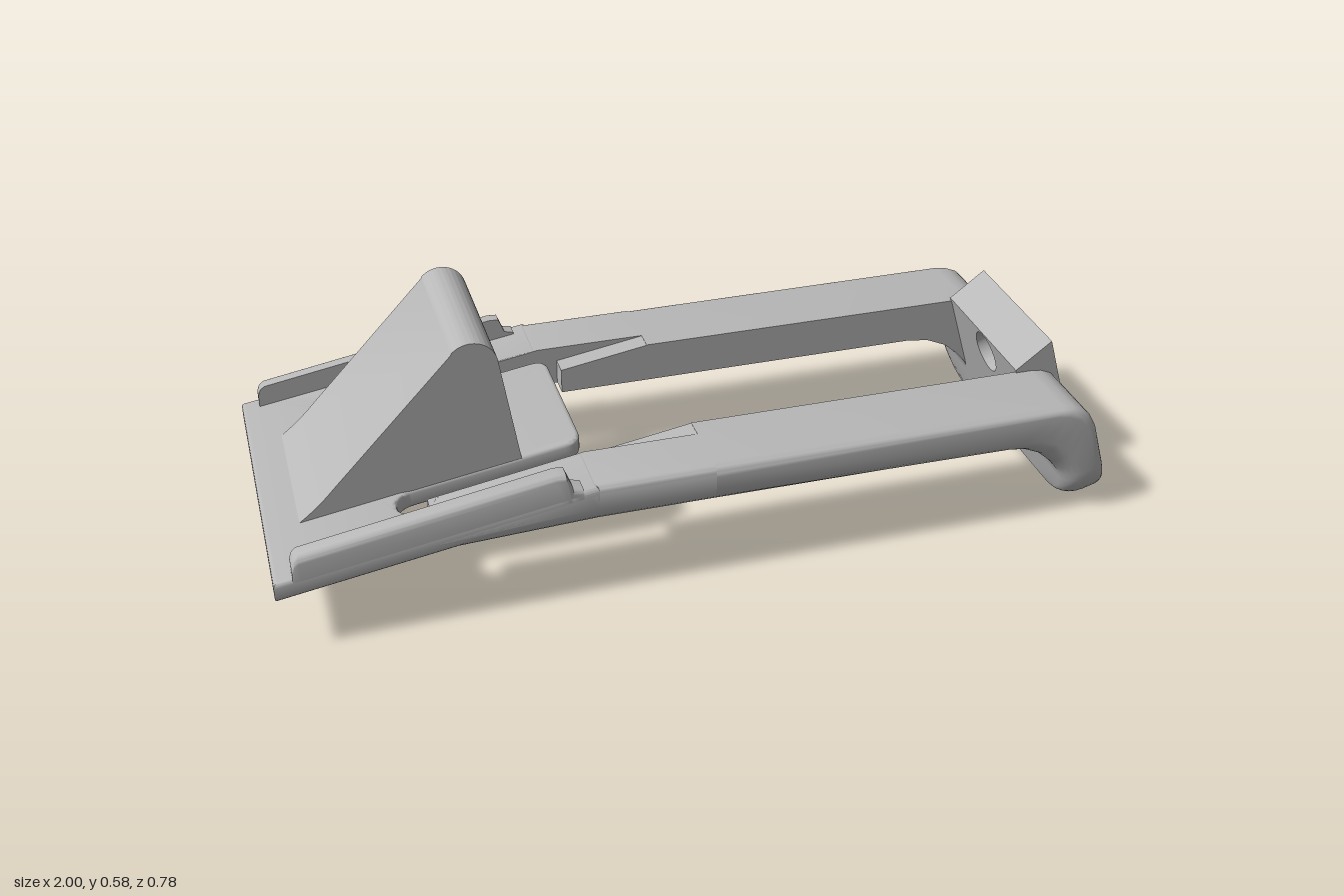
import * as THREE from 'three';
import { toCreasedNormals } from 'three/addons/utils/BufferGeometryUtils.js';

const grey = new THREE.MeshStandardMaterial({ color: 0xb8b8b8 });
grey.name = 'grey plastic';

const SLOPE = 0.162;
const plateBottom = (x) => 0.3 + SLOPE * x;
const plateTop = (x) => plateBottom(x) + 0.046;

function part(name, geometry) {
  const mesh = new THREE.Mesh(toCreasedNormals(geometry, 0.6), grey);
  mesh.name = name;
  return mesh;
}

// Bar lofted through stations [bottomX, bottomY, topX, topY, outerZ];
// its outer edges are rounded by rBottom and rTop, side = 1 or -1 mirrors it.
function loft(stations, innerZ, rBottom, rTop, side) {
  const pos = [], index = [], N = 5;
  let count = 0;
  for (const [bx, by, tx, ty, w] of stations) {
    const h = Math.hypot(tx - bx, ty - by);
    const ring = [[innerZ, 0]];
    const rb = Math.min(rBottom, h * 0.45), rt = Math.min(rTop, h * 0.45);
    for (let i = 0; i <= N; i++) {
      const a = (i / N) * Math.PI / 2;
      ring.push([w - rb + rb * Math.sin(a), rb - rb * Math.cos(a)]);
    }
    for (let i = 0; i <= N; i++) {
      const a = (i / N) * Math.PI / 2;
      ring.push([w - rt + rt * Math.cos(a), h - rt + rt * Math.sin(a)]);
    }
    ring.push([innerZ, h]);
    count = ring.length;
    for (const [z, d] of ring) {
      const t = d / h;
      pos.push(bx + (tx - bx) * t, by + (ty - by) * t, z * side);
    }
  }
  const tri = (a, b, c) => (side > 0 ? index.push(a, b, c) : index.push(a, c, b));
  const last = (stations.length - 1) * count;
  for (let s = 0; s < last; s += count) {
    for (let i = 0; i < count; i++) {
      const a = s + i, b = s + (i + 1) % count;
      tri(a, a + count, b);
      tri(b, a + count, b + count);
    }
  }
  for (let i = 1; i < count - 1; i++) {
    tri(0, i, i + 1);
    tri(last, last + i + 1, last + i);
  }
  const g = new THREE.BufferGeometry();
  g.setAttribute('position', new THREE.Float32BufferAttribute(pos, 3));
  g.setIndex(index);
  g.computeVertexNormals();
  return g;
}

// Sloped plate with two keyhole slots that free the central tongue
function plateGeometry() {
  const s = new THREE.Shape();
  s.moveTo(-1, -0.39);
  s.lineTo(-0.28, -0.39);
  s.lineTo(-0.28, -0.24);
  s.absarc(-0.665, -0.235, 0.042, -0.12, -1.5 * Math.PI, true);
  s.lineTo(-0.31, -0.192);
  s.quadraticCurveTo(-0.27, -0.192, -0.27, -0.152);
  s.lineTo(-0.27, 0.152);
  s.quadraticCurveTo(-0.27, 0.192, -0.31, 0.192);
  s.absarc(-0.69, 0.235, 0.042, -0.5 * Math.PI, -2 * Math.PI + 0.12, true);
  s.lineTo(-0.28, 0.24);
  s.lineTo(-0.28, 0.39);
  s.lineTo(-1, 0.39);
  s.closePath();
  const g = new THREE.ExtrudeGeometry(s, {
    depth: 0.026, bevelThickness: 0.01, bevelSize: 0.01, bevelOffset: -0.01,
    bevelSegments: 3, curveSegments: 20,
  });
  g.translate(0, 0, 0.01);
  g.rotateX(-Math.PI / 2);
  const p = g.attributes.position;
  for (let i = 0; i < p.count; i++) p.setY(i, p.getY(i) + plateBottom(p.getX(i)));
  return g;
}

// Thumb wedge with a rounded crest
function wedgeGeometry() {
  const s = new THREE.Shape();
  s.moveTo(-0.93, plateTop(-0.93) - 0.005);
  s.quadraticCurveTo(-0.88, 0.225, -0.84, 0.27);
  s.lineTo(-0.557, 0.568);
  s.absarc(-0.513, 0.53, 0.06, 2.36, 0.17, true);
  s.lineTo(-0.41, 0.265);
  s.closePath();
  const g = new THREE.ExtrudeGeometry(s, { depth: 0.38, bevelEnabled: false, curveSegments: 16 });
  return g.translate(0, 0, -0.19);
}

// Tilted hook slab with two screw holes and a slanted top
function slabGeometry() {
  const H = 0.355, T = 0.104, s = new THREE.Shape();
  s.moveTo(-0.195, 0);
  s.lineTo(0.195, 0);
  s.lineTo(0.195, H);
  s.lineTo(-0.195, H);
  s.closePath();
  for (const v of [0.073, 0.256]) {
    s.holes.push(new THREE.Path().absarc(0, v, 0.054, 0, Math.PI * 2, true));
  }
  const g = new THREE.ExtrudeGeometry(s, { depth: T, bevelEnabled: false, curveSegments: 24 });
  const p = g.attributes.position;
  for (let i = 0; i < p.count; i++) {
    if (p.getY(i) > H - 0.001 && p.getZ(i) < 0.001) p.setY(i, H - 0.04);
  }
  const m = new THREE.Matrix4().makeBasis(
    new THREE.Vector3(0, 0, -1),
    new THREE.Vector3(-0.282, 0.959, 0),
    new THREE.Vector3(0.959, 0.282, 0),
  );
  m.setPosition(0.9, 0.005, 0);
  return g.applyMatrix4(m);
}

export function createModel() {
  const group = new THREE.Group();
  group.name = 'bracket';
  group.add(part('slopedPlate', plateGeometry()));
  group.add(part('thumbWedge', wedgeGeometry()));
  group.add(part('hookSlab', slabGeometry()));

  // Long arm, bending down into the hook with a rounded lower corner
  const W = 0.39;
  const arm = [
    [-0.01, 0.2, -0.01, 0.3, W],
    [0.7, 0.2, 0.85, 0.3, W],
    [0.755, 0.192, 0.878, 0.297, W],
    [0.805, 0.17, 0.905, 0.286, W],
    [0.84, 0.14, 0.925, 0.265, W],
    [0.86, 0.118, 0.941, 0.235, W],
  ];
  for (let i = 0; i <= 8; i++) {
    const a = (i / 8) * Math.PI / 2, d = 0.1 * (1 - Math.sin(a));
    arm.push([0.9 - 0.282 * d, 0.005 + 0.959 * d, 1 - 0.282 * d, 0.034 + 0.959 * d, 0.29 + 0.1 * Math.cos(a)]);
  }
  // Arm root running under the plate beside the slot
  const root = [
    [-0.64, 0.197, -0.64, plateTop(-0.64) - 0.003, W],
    [-0.3, 0.2, -0.3, 0.296, W],
    [-0.28, 0.2, -0.28, 0.3, W],
    [-0.01, 0.2, -0.01, 0.3, W],
  ];
  // Inner strip of the arm, cut down to clear the plate
  const strip = [
    [-0.23, 0.2, -0.23, plateBottom(-0.23), 0.24],
    [-0.01, 0.2, -0.01, 0.299, 0.24],
  ];
  // Raised side rail on the plate
  const rail = [[-0.958, 0.03], [-0.952, 0.045], [-0.942, 0.052], [-0.375, 0.057],
    [-0.352, 0.052], [-0.344, 0.03], [-0.338, 0.014], [-0.315, 0.004]]
    .map(([x, h]) => [x, plateTop(x) - 0.02, x, plateTop(x) + h, W]);

  for (const [side, name] of [[1, 'left'], [-1, 'right']]) {
    group.add(part(name + 'Arm', loft(arm, 0.19, 0.05, 0.025, side)));
    group.add(part(name + 'ArmRoot', loft(root, 0.24, 0.05, 0.02, side)));
    group.add(part(name + 'ArmStrip', loft(strip, 0.19, 0, 0, side)));
    group.add(part(name + 'Rail', loft(rail, 0.348, 0, 0.018, side)));
  }
  return group;
}
